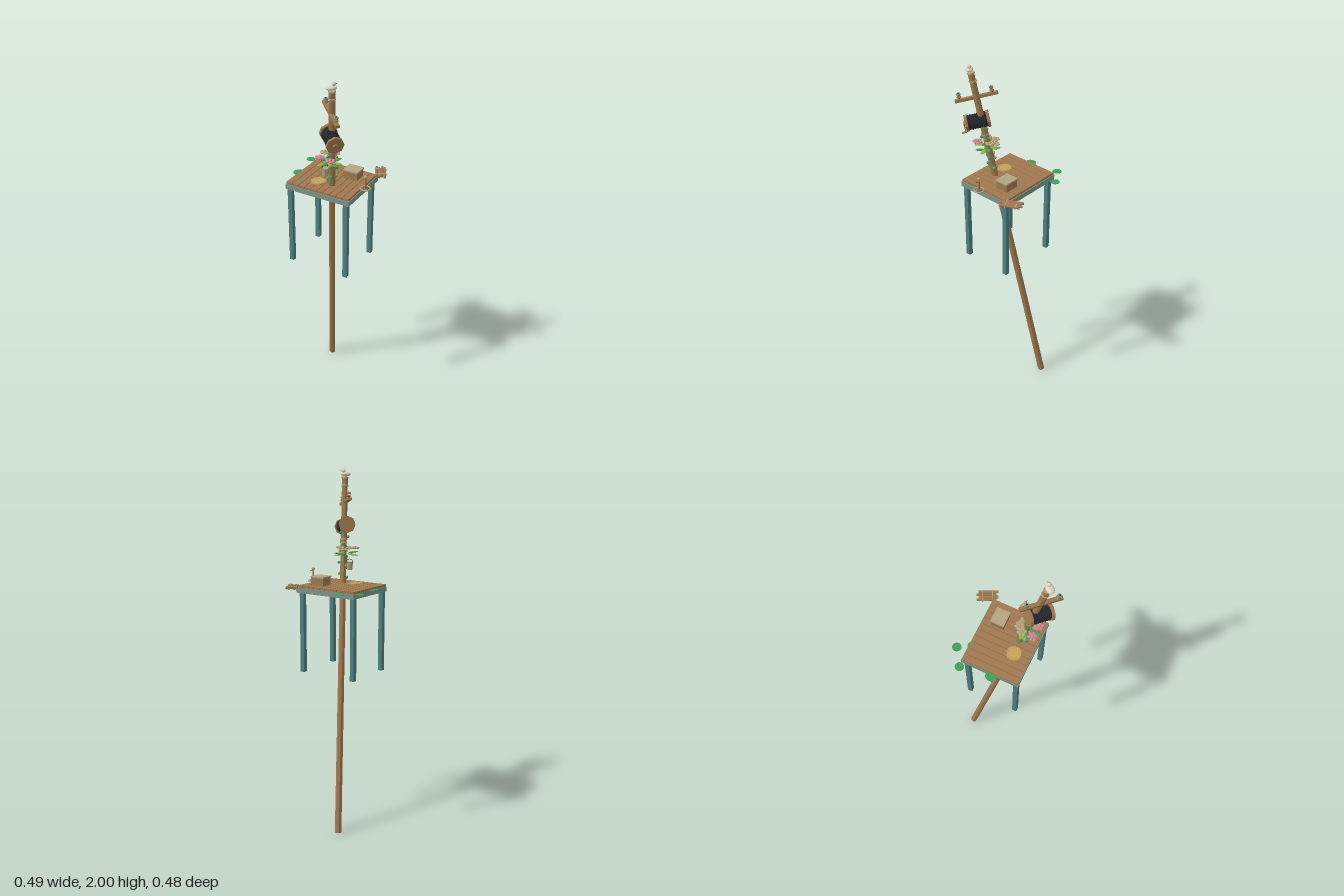
import * as THREE from 'three';

const mat = (name, color, side = THREE.FrontSide) => {
  const m = new THREE.MeshStandardMaterial({ color, side });
  m.name = name;
  return m;
};

export function createModel() {
  const wood = mat('wood', 0xa0784f), paleWood = mat('paleWood', 0xb3a581);
  const frame = mat('paintedFrame', 0x7f9488), teal = mat('tealMetal', 0x4f8080);
  const black = mat('cable', 0x252a30), gold = mat('straw', 0xc9a25a);
  const green = mat('leafGreen', 0x3f9f57), lime = mat('limeGreen', 0x8fb040);
  const pink = mat('pinkPetal', 0xd47d9e), white = mat('offWhite', 0xddd5c2);

  const root = new THREE.Group();
  root.name = 'poleWithPlatform';
  const flat = (g) => {
    const n = g.index ? g.toNonIndexed() : g;
    n.computeVertexNormals();
    return n;
  };
  const add = (parent, name, geo, material, x = 0, y = 0, z = 0) => {
    const m = new THREE.Mesh(geo, material);
    m.name = name;
    m.position.set(x, y, z);
    parent.add(m);
    return m;
  };
  const group = (parent, name, x = 0, y = 0, z = 0) => {
    const g = new THREE.Group();
    g.name = name;
    g.position.set(x, y, z);
    parent.add(g);
    return g;
  };
  const box = (w, h, d) => new THREE.BoxGeometry(w, h, d);
  const cyl = (rt, rb, h, n = 8) => flat(new THREE.CylinderGeometry(rt, rb, h, n));
  const ball = (r) => new THREE.SphereGeometry(r, 12, 8);

  // Platform: frame slab, planks and four legs
  add(root, 'deckFrame', box(0.38, 0.028, 0.322), frame, 0.005, 1.358, 0.011);
  for (let i = 0; i < 10; i++)
    add(root, 'plank', box(0.0345, 0.012, 0.313), wood, -0.1655 + i * 0.0376, 1.378, 0.0115);
  for (const x of [-0.165, 0.171])
    for (const z of [-0.122, 0.154])
      add(root, 'leg', box(0.025, 0.45, 0.025), teal, x, 1.12, z);

  // Crate with pale lid
  add(root, 'crate', box(0.08, 0.044, 0.07), wood, 0.094, 1.406, -0.06);
  add(root, 'crateLid', box(0.087, 0.008, 0.076), paleWood, 0.094, 1.43, -0.06);

  // Round straw mat with a beaded fringe
  const mat0 = group(root, 'strawMat', -0.04, 1.385, 0.08);
  add(mat0, 'matDisc', new THREE.CylinderGeometry(0.038, 0.038, 0.006, 24), gold, 0, 0.001, 0);
  for (const r of [0.028, 0.037])
    add(mat0, 'matRing', new THREE.TorusGeometry(r, 0.0015, 5, 28), gold, 0, 0.004, 0).rotation.x = Math.PI / 2;
  for (let i = 0; i < 32; i++) {
    const a = (i / 32) * Math.PI * 2;
    add(mat0, 'fringe', box(0.003, 0.002, 0.003), paleWood, Math.cos(a) * 0.041, 0.001, Math.sin(a) * 0.041);
  }

  // Hand wheel with post and crank knob
  const wheel = group(root, 'handWheel', 0.212, 1.387, 0.025);
  add(wheel, 'rim', new THREE.TorusGeometry(0.026, 0.004, 6, 24), paleWood).rotation.x = Math.PI / 2;
  add(wheel, 'mount', box(0.05, 0.006, 0.008), wood, -0.015, -0.006, 0);
  add(wheel, 'post', cyl(0.004, 0.005, 0.07), wood, 0, 0.035, 0);
  add(wheel, 'postKnob', ball(0.0095), paleWood, 0, 0.066, 0);
  add(wheel, 'postArm', box(0.022, 0.004, 0.004), wood, 0.012, 0.054, 0);

  // Bundle of sticks tied with two cords
  const bundle = group(root, 'stickBundle', 0.194, 1.381, -0.183);
  bundle.rotation.y = Math.atan2(0.447, 0.894);
  for (let i = 0; i < 4; i++)
    add(bundle, 'stick', cyl(0.0075, 0.0075, 0.105, 7), wood, -0.022 + i * 0.0147, 0, (i % 2) * 0.012 - 0.006)
      .rotation.x = Math.PI / 2;
  for (const z of [-0.027, 0.027]) add(bundle, 'cord', box(0.061, 0.017, 0.004), paleWood, 0, 0, z);

  // Lily pads: thin discs with a notch
  const pads = [[-0.13, -0.2, 3.9], [-0.22, -0.14, 4.1], [-0.194, 0.026, 4.9], [-0.09, -0.132, 3.9], [-0.145, -0.08, 4.2]];
  for (const [x, z, a] of pads) {
    const s = new THREE.Shape();
    s.moveTo(0, 0);
    s.absarc(0, 0, x < -0.19 && z > 0 ? 0.03 : 0.024, a + 0.28, a + Math.PI * 2 - 0.28, false);
    s.closePath();
    const g = new THREE.ExtrudeGeometry(s, { depth: 0.002, bevelEnabled: false, curveSegments: 24 });
    add(root, 'lilyPad', g, green, x, 1.3725, z).rotation.x = -Math.PI / 2;
  }

  // Leaning pole; its fittings use the pole's own axes (x along the crossarm)
  const pole = group(root, 'leaningPole', -0.1, 0.003, -0.17);
  const Y = new THREE.Vector3(0.2, 1.96, 0.345).normalize();
  const X = new THREE.Vector3(0.73, 0, 0.68);
  X.addScaledVector(Y, -X.dot(Y)).normalize();
  const Z = new THREE.Vector3().crossVectors(X, Y);
  pole.quaternion.setFromRotationMatrix(new THREE.Matrix4().makeBasis(X, Y, Z));
  add(pole, 'poleShaft', cyl(0.0165, 0.019, 1.99), wood, 0, 0.995, 0);
  for (const y of [1.63, 1.65, 1.945]) add(pole, 'poleBand', cyl(0.02, 0.02, 0.008), paleWood, 0, y, 0);
  add(pole, 'poleCap', cyl(0.02, 0.02, 0.008), paleWood, 0, 1.988, 0);

  // Crossarm with insulators
  add(pole, 'crossarm', box(0.222, 0.015, 0.021), wood, 0, 1.858, 0.006);
  for (const x of [-0.082, 0.086]) {
    add(pole, 'insulatorPin', cyl(0.004, 0.004, 0.02), black, x, 1.873, 0.006);
    add(pole, 'insulatorSkirt', cyl(0.009, 0.013, 0.009), wood, x, 1.878, 0.006);
    add(pole, 'insulatorTop', cyl(0.011, 0.011, 0.008), frame, x, 1.892, 0.006);
    add(pole, 'insulatorTip', cyl(0.004, 0.004, 0.003), black, x, 1.897, 0.006);
  }

  // Cable spool with ridged windings, end discs and a crank
  const spool = group(pole, 'cableSpool', 0.024, 1.728, 0.01);
  spool.rotation.z = -Math.PI / 2;
  add(spool, 'cableCore', cyl(0.034, 0.034, 0.1, 16), black);
  for (let i = 0; i < 8; i++)
    add(spool, 'cableTurn', new THREE.TorusGeometry(0.034, 0.0065, 6, 20), black, 0, -0.043 + i * 0.0123, 0)
      .rotation.x = Math.PI / 2;
  for (const y of [-0.057, 0.057]) add(spool, 'spoolDisc', cyl(0.047, 0.047, 0.014, 8), wood, 0, y, 0);
  add(spool, 'spoolHub', cyl(0.012, 0.012, 0.01), wood, 0, 0.067, 0);
  add(spool, 'crankArm', box(0.05, 0.005, 0.008), wood, 0.025, 0.071, 0);
  add(spool, 'crankHandle', cyl(0.005, 0.005, 0.025), wood, 0.048, 0.08, 0);

  // Vine winding up the pole
  const pts = [];
  for (let i = 0; i <= 40; i++) {
    const a = i * 0.75;
    pts.push(new THREE.Vector3(Math.cos(a) * 0.02, 1.42 + i * 0.0068, Math.sin(a) * 0.02));
  }
  add(pole, 'vine', new THREE.TubeGeometry(new THREE.CatmullRomCurve3(pts), 120, 0.003, 5), green);
  for (let i = 3; i < 40; i += 3) {
    const leaf = add(pole, 'vineLeaf', ball(1), i % 2 ? green : lime, pts[i].x * 1.25, pts[i].y, pts[i].z * 1.25);
    leaf.scale.set(0.007, 0.008, 0.007);
  }

  // Hanging bucket
  const bucket = group(root, 'bucket', 0.024, 1.475, 0.114);
  add(bucket, 'bucketBody', cyl(0.019, 0.015, 0.042, 12), paleWood);
  add(bucket, 'bucketRim', new THREE.TorusGeometry(0.019, 0.002, 5, 16), wood, 0, 0.02, 0).rotation.x = Math.PI / 2;
  const handle = add(bucket, 'bucketHandle', new THREE.TorusGeometry(0.018, 0.0015, 5, 12, Math.PI), black, 0, 0.02, 0);
  handle.rotation.y = 0.8;

  // Leaf collar around the pole
  const collar = group(root, 'leafCollar', 0.05, 1.545, 0.117);
  for (let i = 0; i < 10; i++) {
    const arm = group(collar, 'leafArm');
    arm.rotation.y = (i / 10) * Math.PI * 2 + 0.3;
    const leaf = add(arm, 'leaf', ball(1), i % 2 ? green : lime, 0.043, (i % 3) * 0.009 - 0.012, 0);
    leaf.scale.set(0.027, 0.004, 0.012);
    leaf.rotation.z = i % 2 ? 0.2 : -0.12;
  }

  // Blossoms
  const blossoms = [[0.015, 1.572, 0.152, pink], [0.08, 1.57, 0.158, pink], [0.066, 1.578, 0.083, paleWood], [0.012, 1.576, 0.096, paleWood], [0.04, 1.568, 0.072, paleWood]];
  for (const [x, y, z, m] of blossoms) {
    const b = group(root, 'blossom', x, y, z);
    for (let i = 0; i < 6; i++) {
      const a = (i / 6) * Math.PI * 2;
      const petal = add(b, 'petal', ball(1), m, Math.cos(a) * 0.016, 0, Math.sin(a) * 0.016);
      petal.scale.set(0.011, 0.005, 0.0095);
      petal.rotation.y = -a;
    }
    add(b, 'blossomCentre', ball(0.008), gold, 0, 0.003, 0);
  }

  // Bird perched on top
  const bird = group(root, 'bird', 0.1, 1.97, 0.182);
  bird.rotation.y = 0.8;
  add(bird, 'birdBody', ball(1), white).scale.set(0.029, 0.012, 0.02);
  add(bird, 'birdHead', ball(0.011), white, 0.012, 0.018, 0);
  add(bird, 'birdBeak', cyl(0, 0.004, 0.014, 6), gold, 0.026, 0.018, 0).rotation.z = -Math.PI / 2;
  return root;
}
